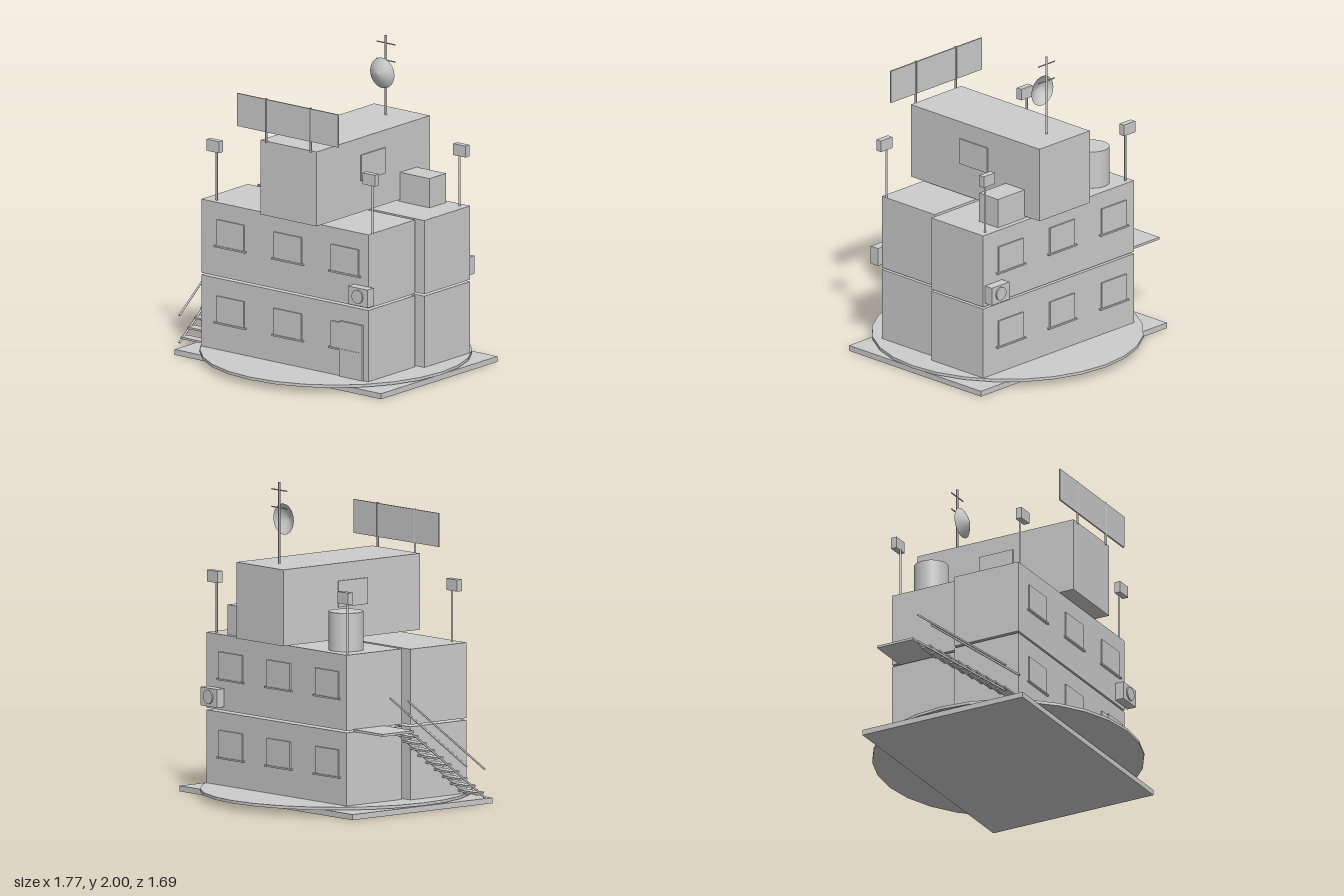
import * as THREE from 'three';

export function createModel() {
  const model = new THREE.Group();
  model.name = 'rooftopOutpost';
  const grey = new THREE.MeshStandardMaterial({ color: 0xcccccc });
  grey.name = 'plainGrey';
  const greyOpen = grey.clone();
  greyOpen.side = THREE.DoubleSide;

  const add = (name, geometry, x = 0, y = 0, z = 0, material = grey) => {
    const mesh = new THREE.Mesh(geometry, material);
    mesh.name = name;
    mesh.position.set(x, y, z);
    model.add(mesh);
    return mesh;
  };
  // Box given by its limits on each axis
  const block = (name, x0, x1, y0, y1, z0, z1) =>
    add(name, new THREE.BoxGeometry(x1 - x0, y1 - y0, z1 - z0), (x0 + x1) / 2, (y0 + y1) / 2, (z0 + z1) / 2);
  // Straight round bar between two points
  const bar = (name, a, b, radius) => {
    const from = new THREE.Vector3(...a), to = new THREE.Vector3(...b);
    const mid = from.clone().add(to).multiplyScalar(0.5);
    const mesh = add(name, new THREE.CylinderGeometry(radius, radius, from.distanceTo(to), 8), mid.x, mid.y, mid.z);
    mesh.quaternion.setFromUnitVectors(new THREE.Vector3(0, 1, 0), to.sub(from).normalize());
  };

  // Ground slab and round yard
  block('groundSlab', -0.785, 0.865, 0, 0.035, -0.57, 0.567);
  const yard = add('roundYard', new THREE.CylinderGeometry(0.843, 0.843, 0.018, 28), 0.041, 0.049, 0);
  yard.geometry = yard.geometry.toNonIndexed();
  yard.geometry.computeVertexNormals();

  // Four stacked modules, the rear pair shifted sideways
  for (const [y0, y1] of [[0.055, 0.515], [0.528, 1.0]]) {
    block('frontModule', -0.655, 0.68, y0, y1, 0.01, 0.465);
    block('rearModule', -0.602, 0.735, y0, y1, -0.463, -0.015);
  }

  // Upper cabin with side windows
  block('upperCabin', -0.112, 0.335, 1.013, 1.49, -0.56, 0.55);
  block('cabinWindow', 0.335, 0.344, 1.215, 1.38, -0.117, 0.122);
  block('cabinWindow', -0.121, -0.112, 1.215, 1.38, -0.117, 0.122);

  // Wall details, the same on front and rear
  for (const s of [1, -1]) {
    const wallBlock = (name, x0, x1, y0, y1, depth) =>
      block(name, x0, x1, y0, y1, s > 0 ? 0.46 : -depth, s > 0 ? depth : -0.46);
    for (const x of [-0.42, 0.04, 0.495]) {
      for (const y of [0.235, 0.725]) {
        wallBlock('window', x - 0.11, x + 0.11, y, y + 0.167, 0.473);
        wallBlock('windowSill', x - 0.125, x + 0.125, y - 0.01, y, 0.48);
      }
    }
    wallBlock('coolingUnit', 0.565, 0.72, 0.55, 0.665, 0.523);
    const fan = add('coolingFan', new THREE.CylinderGeometry(0.043, 0.043, 0.01, 24), 0.643, 0.61, s * 0.527);
    fan.rotation.x = Math.PI / 2;

    // Floodlights on poles
    for (const x of [-0.565, 0.68]) {
      bar('lightPole', [x, 1, s * 0.425], [x, 1.32, s * 0.425], 0.007);
      block('floodlight', x - 0.05, x + 0.05, 1.317, 1.39, s * 0.443 - 0.02, s * 0.443 + 0.02);
    }
  }
  block('door', 0.46, 0.64, 0.055, 0.413, 0.46, 0.476);

  // Side landing and stairs
  block('landing', -0.885, -0.6, 0.517, 0.532, -0.41, -0.155);
  for (let i = 0; i < 9; i++) {
    const y = 0.08 + 0.05 * i, z = 0.43 - 0.0658 * i;
    block('stairTread', -0.825, -0.655, y - 0.006, y + 0.006, z - 0.032, z + 0.032);
  }
  for (const x of [-0.826, -0.655]) {
    bar('stairStringer', [x, 0.53, -0.155], [x, 0.05, 0.47], 0.007);
    bar('stairRail', [x, 0.71, -0.155], [x, 0.225, 0.47], 0.006);
  }

  // Roof tank and equipment box
  add('roofTank', new THREE.CylinderGeometry(0.108, 0.108, 0.24, 32), -0.402, 1.12, -0.297);
  block('equipmentBox', 0.32, 0.57, 1.0, 1.187, -0.43, -0.268);

  // Blank sign board on two posts
  block('signBoard', -0.293, 0.514, 1.55, 1.76, 0.547, 0.557);
  for (const x of [-0.065, 0.29]) bar('signPost', [x, 1.48, 0.552], [x, 1.765, 0.552], 0.007);

  // Mast with cross bars and dish
  bar('mast', [0.111, 1.48, -0.402], [0.111, 2, -0.402], 0.007);
  for (const y of [1.84, 1.95]) bar('mastCrossBar', [0.038, y, -0.402], [0.184, y, -0.402], 0.004);
  const profile = [[0.097, 0], [0.062, 0.022], [0.03, 0.038], [0, 0.044]].map(p => new THREE.Vector2(...p));
  const dish = add('dish', new THREE.LatheGeometry(profile, 28), 0.111, 1.765, -0.367, greyOpen);
  dish.rotation.x = Math.PI / 2;

  return model;
}
